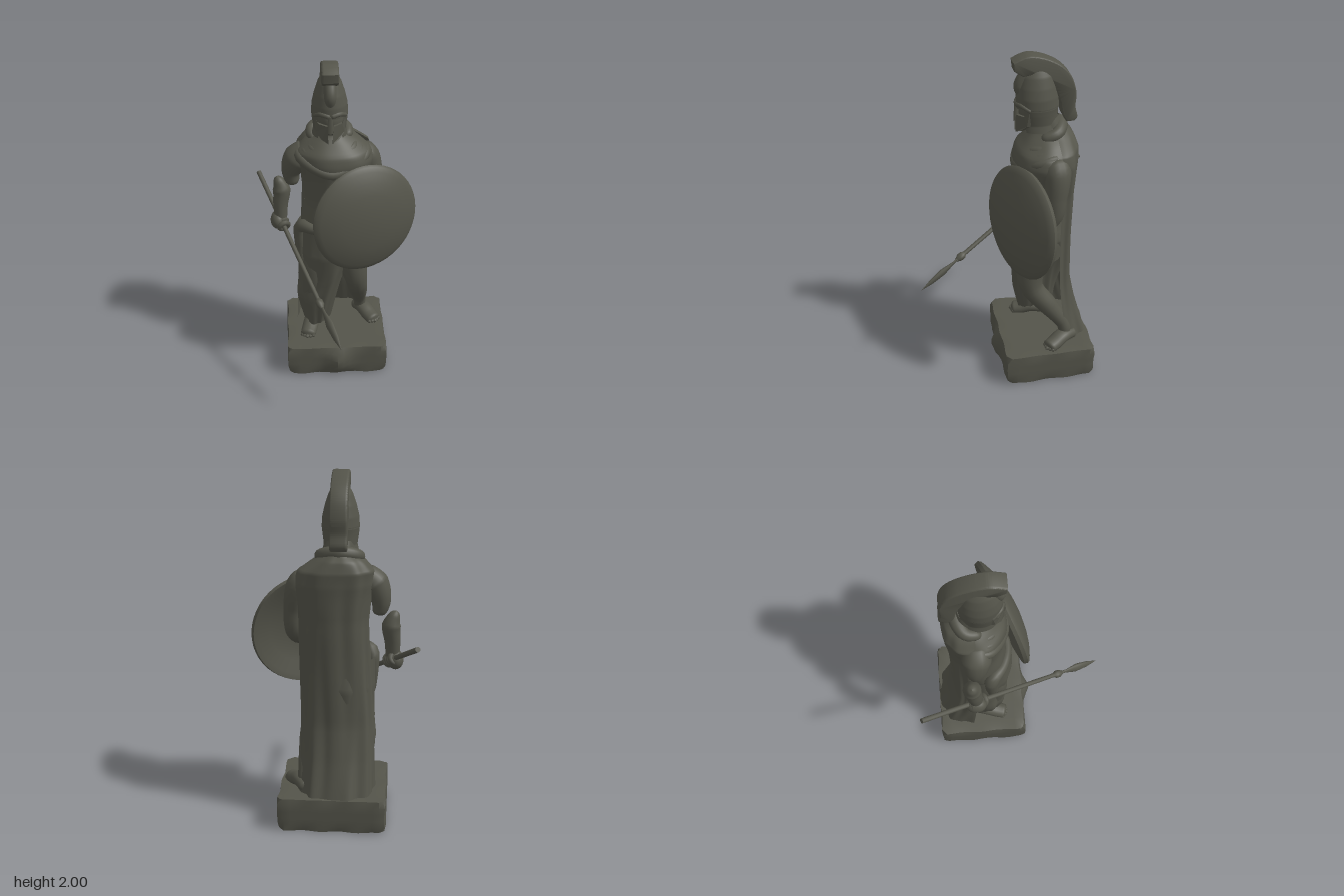
import * as THREE from 'three';
import { mergeVertices, toCreasedNormals } from 'three/addons/utils/BufferGeometryUtils.js';

const stone = new THREE.MeshStandardMaterial({ color: 0x54544a, side: THREE.DoubleSide });
stone.name = 'dark stone';
const V = (p) => new THREE.Vector3(...p);

function smooth(geo) {
  geo.deleteAttribute('uv');
  geo.deleteAttribute('normal');
  const g = mergeVertices(geo, 1e-4);
  g.computeVertexNormals();
  return g;
}

// Rings [y, cx, cz, rx, rz] from bottom to top, smoothed between; angle 0 faces the front.
function loft(rings, { a0 = 0, a1 = Math.PI * 2, seg = 72, steps = 40, square = 1, fold = () => 0, move } = {}) {
  const mid = new THREE.CatmullRomCurve3(rings.map((r) => V(r.slice(0, 3))), false, 'centripetal');
  const at = (t, k) => {
    const f = t * (rings.length - 1), i = Math.min(Math.floor(f), rings.length - 2);
    const u = f - i;
    return rings[i][k] * (1 - u) + rings[i + 1][k] * u;
  };
  const pw = (v) => Math.sign(v) * Math.abs(v) ** square;
  const pos = [], idx = [];
  for (let j = 0; j <= steps; j++) {
    const t = j / steps, c = mid.getPoint(t);
    for (let i = 0; i <= seg; i++) {
      const a = a0 + (a1 - a0) * i / seg, f = 1 + fold(a, t);
      const p = V([c.y + at(t, 3) * f * pw(Math.sin(a)), c.x, c.z + at(t, 4) * f * pw(Math.cos(a))]);
      if (move) move(p, a, t);
      pos.push(p.x, p.y, p.z);
      if (i < seg && j < steps) {
        const k = j * (seg + 1) + i, n = k + seg + 1;
        idx.push(k, k + 1, n + 1, k, n + 1, n);
      }
    }
  }
  const g = new THREE.BufferGeometry();
  g.setAttribute('position', new THREE.Float32BufferAttribute(pos, 3));
  g.setIndex(idx);
  return smooth(g);
}

// Rounded, tapering limb through points [x, y, z, radius].
function limb(pts, squash = 1, n = 32, sides = 16) {
  const curve = new THREE.CatmullRomCurve3(pts.map((p) => V(p.slice(0, 3))));
  const g = new THREE.TubeGeometry(curve, n, 1, sides);
  const P = g.attributes.position, v = new THREE.Vector3();
  const end = (t) => Math.max(0.02, Math.sqrt(1 - (1 - Math.min(1, t / 0.1)) ** 2));
  for (let i = 0; i < P.count; i++) {
    const u = Math.floor(i / (sides + 1)) / n, c = curve.getPointAt(u);
    const f = curve.getUtoTmapping(u) * (pts.length - 1), k = Math.min(Math.floor(f), pts.length - 2);
    const r = THREE.MathUtils.lerp(pts[k][3], pts[k + 1][3], f - k) * end(u) * end(1 - u);
    v.fromBufferAttribute(P, i).sub(c).multiplyScalar(r);
    v.y *= squash;
    v.add(c);
    P.setXYZ(i, v.x, v.y, v.z);
  }
  return smooth(g);
}

export function createModel() {
  const model = new THREE.Group();
  const add = (name, geo, parent = model) => {
    const m = new THREE.Mesh(geo, stone);
    m.name = name;
    parent.add(m);
    return m;
  };

  // Rough plinth with worn edges and a bulge at the front
  const block = new THREE.BoxGeometry(0.62, 0.2, 0.55, 16, 5, 16);
  const B = block.attributes.position;
  for (let i = 0; i < B.count; i++) {
    let x = B.getX(i), y = B.getY(i), z = B.getZ(i);
    const ex = Math.abs(x) / 0.31, ey = Math.abs(y) / 0.1, ez = Math.abs(z) / 0.275;
    const edges = (ex > 0.99) + (ey > 0.99) + (ez > 0.99);
    const wear = 0.5 + 0.5 * Math.sin(x * 31 + y * 23 + z * 27);
    const cut = edges > 1 ? (edges > 2 ? 0.018 : 0.002 + 0.008 * wear) : 0;
    if (ez > 0.99 && z > 0) z += 0.045 * Math.exp(-((x - 0.01) ** 2) / 0.004) * (1 - ey * ey);
    x -= Math.sign(x) * (ex > 0.99 ? cut : 0);
    z -= Math.sign(z) * (ez > 0.99 ? cut : 0);
    y -= Math.sign(y) * (ey > 0.99 ? cut * 0.4 : 0);
    B.setXYZ(i, x, y + 0.1, z - 0.2);
  }
  add('plinth', toCreasedNormals(block, 0.6));

  // Torso under a tunic
  add('torso', loft([
    [0.78, 0, -0.17, 0.18, 0.15], [0.9, -0.01, -0.18, 0.195, 0.15], [1.0, -0.02, -0.18, 0.185, 0.15],
    [1.15, -0.005, -0.18, 0.175, 0.14], [1.3, 0, -0.19, 0.195, 0.16], [1.4, -0.005, -0.19, 0.225, 0.17],
    [1.46, -0.015, -0.2, 0.22, 0.165], [1.52, -0.025, -0.22, 0.155, 0.13], [1.57, -0.03, -0.22, 0.085, 0.09],
    [1.64, -0.033, -0.2, 0.075, 0.08],
  ], { fold: (a, t) => 0.01 * Math.sin(7 * a + 6 * t) }));

  // Skirt: long over the right leg, lifted over the left, with a ragged hem
  add('skirt', loft([
    [0.26, -0.11, -0.18, 0.09, 0.1], [0.45, -0.09, -0.17, 0.15, 0.13], [0.6, -0.04, -0.18, 0.19, 0.16],
    [0.8, -0.025, -0.18, 0.205, 0.185], [0.97, -0.025, -0.18, 0.205, 0.165],
  ], {
    fold: (a, t) => (0.05 * Math.sin(9 * a + 2.5 * t) + 0.025 * Math.sin(15 * a)) * (1 - t),
    move: (p, a, t) => {
      const lift = THREE.MathUtils.smoothstep(p.x, -0.08, 0.14);
      p.y = 0.97 - (0.97 - p.y) * (1 - 0.6 * lift) + (1 - t) * (0.02 + 0.014 * Math.sin(4 * a));
    },
  }));
  add('sash', limb([[0.16, 1.02, -0.1, 0.02], [0.02, 0.99, -0.025, 0.025], [-0.12, 0.99, -0.05, 0.03],
    [-0.205, 0.98, -0.12, 0.042], [-0.208, 0.88, -0.13, 0.042], [-0.2, 0.7, -0.12, 0.03]]));

  // Cape hanging from the shoulders to the plinth, wrapping round the right side
  add('cape', loft([
    [0.2, -0.02, -0.3, 0.215, 0.165], [0.4, -0.025, -0.27, 0.205, 0.135], [0.6, -0.022, -0.25, 0.2, 0.115],
    [0.9, -0.008, -0.24, 0.195, 0.12], [1.2, 0.003, -0.24, 0.192, 0.125], [1.4, 0.003, -0.23, 0.22, 0.148],
    [1.48, -0.01, -0.23, 0.21, 0.15], [1.54, -0.03, -0.23, 0.135, 0.13], [1.57, -0.03, -0.23, 0.09, 0.1],
  ], {
    a0: Math.PI * 0.54, a1: Math.PI * 1.56, square: 0.88, steps: 60,
    fold: (a, t) => (0.04 * Math.sin(8 * a + 5 * t) + 0.02 * Math.sin(13 * a - 4 * t)) * (1 - t * 0.8),
  }));

  // Draped folds over chest and neck
  [0, 1, 2].forEach((k) => add('mantleFold', limb([
    [-0.14 - k * 0.035, 1.51 - k * 0.02, -0.25, 0.03], [-0.13 - k * 0.035, 1.48 - k * 0.025, -0.13, 0.032],
    [-0.02, 1.45 - k * 0.045, -0.075 + k * 0.018, 0.03],
    [0.09 + k * 0.035, 1.48 - k * 0.025, -0.13, 0.032], [0.1 + k * 0.035, 1.51 - k * 0.02, -0.25, 0.03]])));
  add('neckHood', limb([[-0.13, 1.53, -0.16, 0.03], [-0.13, 1.56, -0.25, 0.035], [-0.035, 1.58, -0.29, 0.045],
    [0.065, 1.56, -0.25, 0.035], [0.065, 1.53, -0.16, 0.03]]));

  // Arms
  add('rightUpperArm', limb([[-0.15, 1.45, -0.2, 0.07], [-0.222, 1.39, -0.2, 0.083],
    [-0.258, 1.3, -0.21, 0.055], [-0.245, 1.215, -0.21, 0.035]]));
  add('rightForearm', limb([[-0.345, 1.255, -0.24, 0.022], [-0.318, 1.17, -0.24, 0.053],
    [-0.326, 1.07, -0.23, 0.044], [-0.328, 0.95, -0.22, 0.036]]));
  add('leftArm', limb([[0.13, 1.44, -0.22, 0.075], [0.185, 1.38, -0.23, 0.078], [0.22, 1.25, -0.22, 0.06],
    [0.225, 1.12, -0.2, 0.05], [0.2, 1.06, -0.12, 0.045], [0.16, 1.06, -0.05, 0.04]]));

  // Legs and feet
  add('leftLeg', limb([[0.09, 0.92, -0.17, 0.1], [0.1, 0.75, -0.11, 0.095], [0.125, 0.59, -0.11, 0.066],
    [0.143, 0.46, -0.2, 0.06], [0.162, 0.31, -0.3, 0.038], [0.168, 0.21, -0.32, 0.043]]));
  add('rightLeg', limb([[-0.1, 0.88, -0.17, 0.1], [-0.12, 0.7, -0.12, 0.09], [-0.14, 0.56, -0.11, 0.066],
    [-0.15, 0.42, -0.15, 0.058], [-0.15, 0.28, -0.17, 0.042], [-0.15, 0.21, -0.18, 0.045]]));
  const foot = (name, x, z, turn) => {
    const g = new THREE.Group();
    g.name = name;
    g.position.set(x, 0.198, z);
    g.rotation.y = turn;
    add('sole', limb([[0, 0.03, -0.06, 0.045], [0, 0.042, 0.03, 0.05], [0, 0.022, 0.1, 0.05], [0, 0.012, 0.16, 0.046]], 0.8), g);
    for (let i = 0; i < 5; i++) {
      const tx = (i - 2) * 0.017;
      add('toe', limb([[tx, 0.014, 0.11, 0.014], [tx, 0.01, 0.175 - Math.abs(tx) * 0.5, 0.012]], 1, 8, 8), g);
    }
    model.add(g);
  };
  foot('leftFoot', 0.172, -0.32, 0.55);
  foot('rightFoot', -0.145, -0.2, -0.25);

  // Head and helmet
  const face = add('face', new THREE.SphereGeometry(1, 32, 20));
  face.scale.set(0.08, 0.115, 0.1);
  face.position.set(-0.033, 1.675, -0.155);
  add('helmetBowl', loft([
    [1.7, -0.033, -0.16, 0.104, 0.12], [1.76, -0.033, -0.158, 0.1, 0.118], [1.82, -0.033, -0.158, 0.086, 0.108],
    [1.88, -0.033, -0.16, 0.066, 0.09], [1.925, -0.033, -0.165, 0.04, 0.06], [1.95, -0.033, -0.17, 0.005, 0.01],
  ]));
  // Neck guard wrapping from cheek to cheek, open at the face
  add('cheekAndNeckGuard', loft([
    [1.57, -0.033, -0.17, 0.1, 0.115], [1.61, -0.033, -0.165, 0.092, 0.11], [1.67, -0.033, -0.16, 0.1, 0.115],
    [1.71, -0.033, -0.16, 0.104, 0.12],
  ], { a0: 0.75, a1: Math.PI * 2 - 0.75 }));
  for (const s of [-1, 1]) {
    const plate = new THREE.Shape([[0.012, 1.555], [0.05, 1.575], [0.08, 1.61], [0.088, 1.69], [0.065, 1.665],
      [0.016, 1.66]].map((p) => new THREE.Vector2(p[0] * s, p[1])));
    const g = new THREE.ExtrudeGeometry(plate, { depth: 0.02, bevelEnabled: false });
    const P = g.attributes.position;
    for (let i = 0; i < P.count; i++) P.setZ(i, P.getZ(i) - 0.055 - 8 * P.getX(i) ** 2);
    g.translate(-0.033, 0, 0);
    g.computeVertexNormals();
    add('cheekPlate', g);
    add('browRidge', limb([[-0.033, 1.715, -0.04, 0.014], [-0.033 + s * 0.05, 1.725, -0.06, 0.014],
      [-0.033 + s * 0.09, 1.7, -0.11, 0.012]], 1, 16, 10));
  }
  add('noseGuard', new THREE.CylinderGeometry(0.012, 0.017, 0.1, 4).translate(-0.033, 1.668, -0.043));
  add('browPeak', limb([[-0.033, 1.76, -0.075, 0.025], [-0.033, 1.82, -0.06, 0.034], [-0.033, 1.88, -0.09, 0.036],
    [-0.033, 1.92, -0.13, 0.03]]));

  // Curved crest with a flared hanging tail
  const crest = new THREE.Shape();
  crest.moveTo(-0.03, 1.93);
  crest.lineTo(-0.025, 1.972);
  crest.splineThru([[-0.07, 1.992], [-0.12, 2.0], [-0.2, 1.98], [-0.28, 1.935], [-0.335, 1.87], [-0.363, 1.78],
    [-0.36, 1.7], [-0.373, 1.64], [-0.36, 1.617]].map((p) => new THREE.Vector2(...p)));
  crest.lineTo(-0.32, 1.62);
  crest.splineThru([[-0.3, 1.66], [-0.287, 1.73], [-0.255, 1.81], [-0.2, 1.88], [-0.13, 1.905], [-0.075, 1.9]]
    .map((p) => new THREE.Vector2(...p)));
  const crestGeo = new THREE.ExtrudeGeometry(crest, { depth: 0.066, bevelSize: 0.007, bevelThickness: 0.014, bevelSegments: 3, curveSegments: 24 });
  crestGeo.rotateY(-Math.PI / 2).translate(0, -0.007, 0);
  add('crest', toCreasedNormals(crestGeo, 0.7));
  add('crestHolder', limb([[-0.033, 1.87, -0.08, 0.03], [-0.033, 1.9, -0.16, 0.035], [-0.033, 1.84, -0.24, 0.03], [-0.033, 1.74, -0.275, 0.02]]));

  // Domed round shield
  const profile = [[0, 0.066], [0.12, 0.056], [0.22, 0.032], [0.29, 0], [0.322, -0.008], [0.33, 0.014],
    [0.32, 0.028], [0.295, 0.041], [0.24, 0.065], [0.17, 0.084], [0.09, 0.096], [0, 0.1]];
  const shield = add('shield', toCreasedNormals(
    new THREE.LatheGeometry(profile.map((p) => new THREE.Vector2(...p)), 48), 0.5));
  shield.position.set(0.163, 1.074, -0.045);
  shield.quaternion.setFromUnitVectors(V([0, 1, 0]), V([0.366, 0.09, 0.93]).normalize());

  // Spear with the right hand closed round it
  const butt = V([-0.46, 1.13, -0.53]), tip = V([0, 0.56, 0.54]);
  const spear = new THREE.Group();
  spear.name = 'spear';
  spear.position.copy(butt);
  spear.quaternion.setFromUnitVectors(V([0, 1, 0]), tip.clone().sub(butt).normalize());
  const len = butt.distanceTo(tip);
  add('shaft', new THREE.CylinderGeometry(0.013, 0.015, len - 0.28, 12).translate(0, (len - 0.28) / 2, 0), spear);
  const knob = [[0.013, -0.345], [0.023, -0.33], [0.023, -0.305], [0.013, -0.285]];
  const head = [[0.013, -0.3], [0.014, -0.25], [0.034, -0.17], [0.024, -0.08], [0, 0]];
  const turned = (pts) => new THREE.LatheGeometry(pts.map((p) => new THREE.Vector2(p[0], p[1] + len)), 12);
  add('spearKnob', turned(knob), spear);
  add('spearHead', turned(head), spear).scale.set(0.5, 1, 0.85);
  const grip = 0.29 * len;
  for (let i = 0; i < 4; i++) {
    add('finger', new THREE.TorusGeometry(0.028, 0.016, 8, 20).rotateX(Math.PI / 2).translate(0, grip + (i - 1.5) * 0.029, 0), spear);
  }
  model.add(spear);
  const palm = add('rightPalm', new THREE.SphereGeometry(1, 20, 14));
  palm.scale.set(0.045, 0.055, 0.06);
  palm.position.set(-0.345, 0.965, -0.225);

  return model;
}
